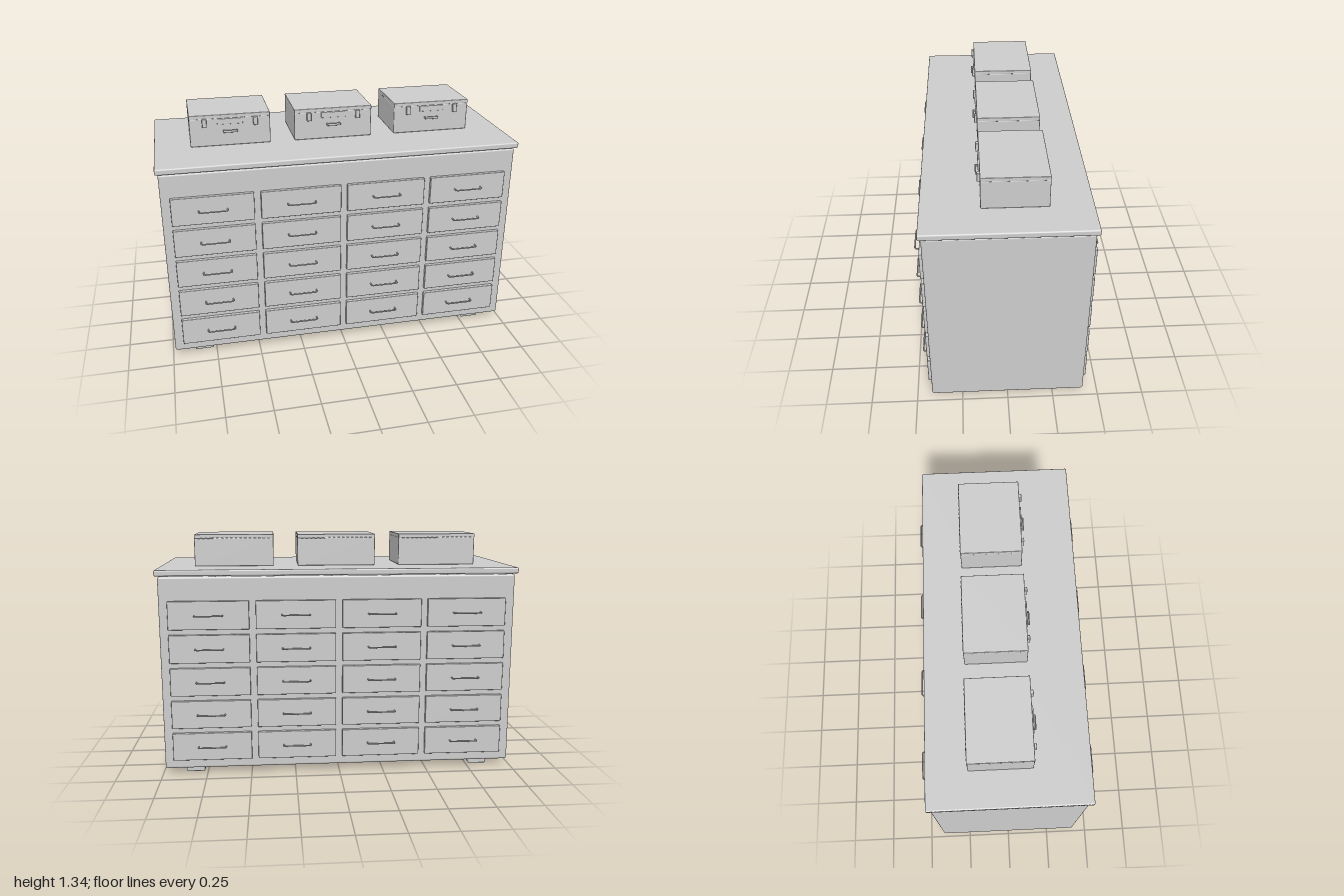
import * as THREE from 'three';
import { RoundedBoxGeometry } from 'three/addons/geometries/RoundedBoxGeometry.js';

const lightGrey = new THREE.MeshStandardMaterial({ color: 0xcccccc });
lightGrey.name = 'lightGrey';

// Softly rounded box placed by its centre
function box(parent, name, size, pos, radius = 0.004) {
  const mesh = new THREE.Mesh(new RoundedBoxGeometry(...size, 2, radius), lightGrey);
  mesh.name = name;
  mesh.position.set(...pos);
  parent.add(mesh);
  return mesh;
}

// Bow handle: thin bar on two short legs, projecting along +z
function bowHandle(name, width, depth, radius) {
  const w = width / 2, b = depth * 0.75;
  const points = [[-w, 0], [-w, b], [-w + 0.006, depth], [w - 0.006, depth], [w, b], [w, 0]];
  const path = new THREE.CurvePath();
  for (let i = 0; i < points.length - 1; i++) {
    path.add(new THREE.LineCurve3(
      new THREE.Vector3(points[i][0], 0, points[i][1]),
      new THREE.Vector3(points[i + 1][0], 0, points[i + 1][1])));
  }
  const mesh = new THREE.Mesh(new THREE.TubeGeometry(path, 64, radius, 8), lightGrey);
  mesh.name = name;
  return mesh;
}

// One face of drawers: four columns by five rows
function drawerBank(name) {
  const bank = new THREE.Group();
  bank.name = name;
  for (let col = 0; col < 4; col++) {
    for (let row = 0; row < 5; row++) {
      const x = -0.716 + col * 0.476;
      const y = 0.166 + row * 0.186;
      box(bank, 'drawerFront', [0.44, 0.157, 0.03], [x, y, 0.421], 0.003);
      const handle = bowHandle('drawerHandle', 0.152, 0.029, 0.004);
      handle.position.set(x, y, 0.435);
      bank.add(handle);
    }
  }
  return bank;
}

// Small lidded case with latches, plate, handle and rear hinge
function carryCase() {
  const group = new THREE.Group();
  group.name = 'carryCase';
  box(group, 'caseBody', [0.444, 0.16, 0.341], [0, 0.08, -0.04], 0.006);
  box(group, 'caseLid', [0.444, 0.022, 0.341], [0, 0.167, -0.04], 0.003);
  for (const side of [-1, 1]) {
    box(group, 'latch', [0.025, 0.048, 0.016], [side * 0.14, 0.135, 0.137]);
  }
  box(group, 'namePlate', [0.14, 0.032, 0.009], [0, 0.14, 0.133], 0.002);
  box(group, 'caseHandleGrip', [0.08, 0.014, 0.007], [0, 0.086, 0.148], 0.003);
  for (const side of [-1, 1]) {
    box(group, 'caseHandleLeg', [0.008, 0.01, 0.02], [side * 0.036, 0.086, 0.138], 0.002);
  }
  // Hinge knuckles along the rear lid seam
  for (let i = 0; i < 16; i++) {
    const knuckle = new THREE.Mesh(new THREE.CylinderGeometry(0.003, 0.003, 0.013, 8), lightGrey);
    knuckle.name = 'hingeKnuckle';
    knuckle.rotation.z = Math.PI / 2;
    knuckle.position.set(-0.195 + i * 0.026, 0.157, -0.21);
    group.add(knuckle);
  }
  return group;
}

export function createModel() {
  const model = new THREE.Group();
  model.name = 'drawerCabinet';

  box(model, 'cabinetBody', [1.97, 1.085, 0.834], [0, 0.5775, 0], 0.012);
  box(model, 'counterTop', [2, 0.033, 0.864], [0, 1.141, 0], 0.008);

  // Feet
  for (const x of [-0.82, 0.82]) {
    for (const z of [-0.327, 0.327]) {
      box(model, 'foot', [0.104, 0.04, 0.104], [x, 0.02, z], 0.006);
    }
  }

  // Drawers on both long faces
  model.add(drawerBank('frontDrawers'));
  const back = drawerBank('backDrawers');
  back.rotation.y = Math.PI;
  model.add(back);

  // Cases on the counter
  for (const x of [-0.58, 0, 0.58]) {
    const item = carryCase();
    item.position.set(x, 1.157, 0);
    model.add(item);
  }
  return model;
}
